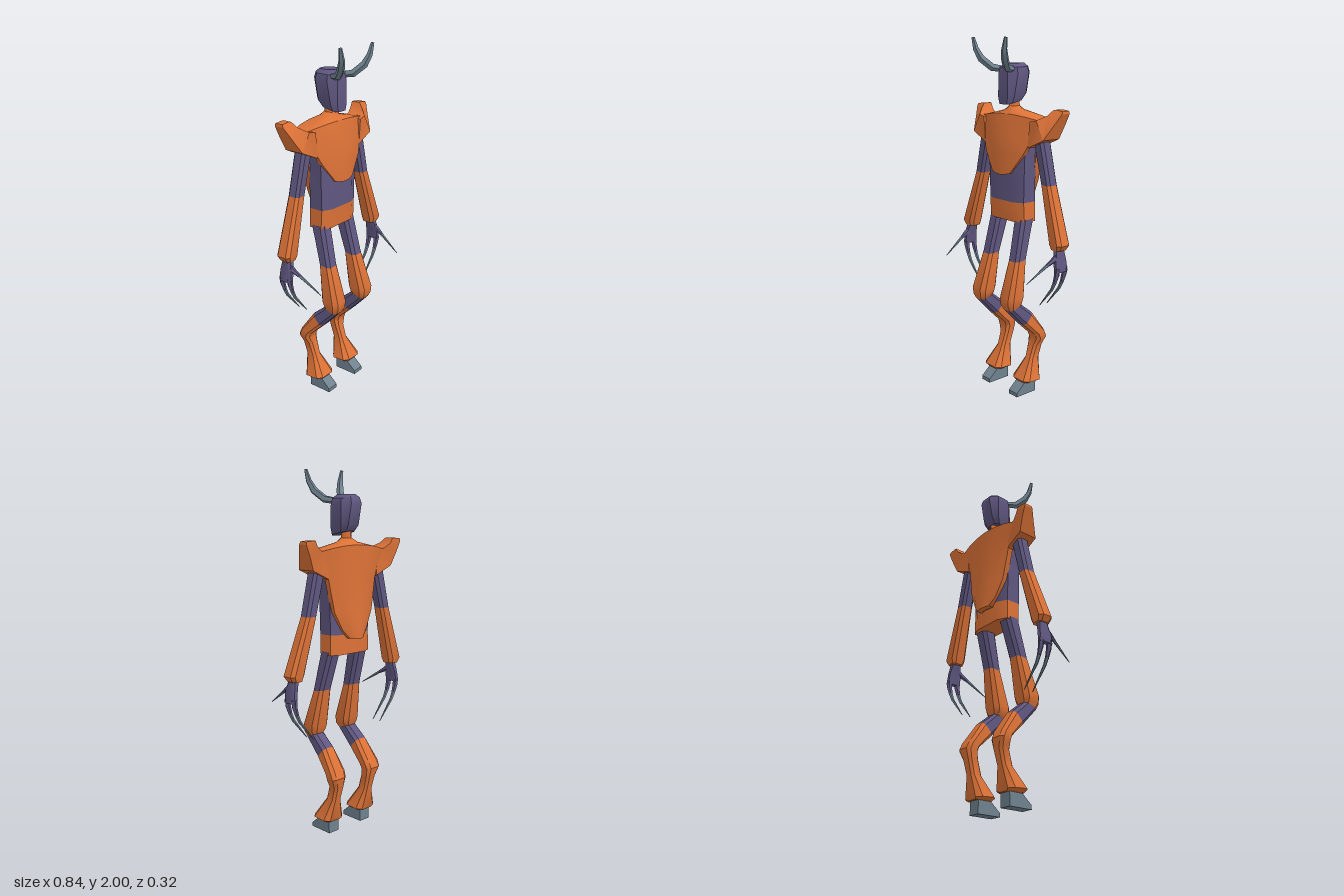
import * as THREE from 'three';
import { toCreasedNormals } from 'three/addons/utils/BufferGeometryUtils.js';

const orange = new THREE.MeshStandardMaterial({ color: 0xdc7237 });
orange.name = 'orange armour';
const purple = new THREE.MeshStandardMaterial({ color: 0x5f5780 });
purple.name = 'dusky purple';
const slate = new THREE.MeshStandardMaterial({ color: 0x6f828f });
slate.name = 'slate horn';

// Closed solid through a list of equal-length rings, turned so its faces point outward
function loft(name, material, rings, side = 1) {
  const pos = [];
  const n = rings[0].length;
  const r = rings.map(ring => ring.map(p => new THREE.Vector3(p[0] * side, p[1], p[2])));
  const tris = [];
  for (let i = 0; i < r.length - 1; i++) {
    for (let j = 0; j < n; j++) {
      const k = (j + 1) % n;
      const a = r[i][j], b = r[i][k], c = r[i + 1][k], d = r[i + 1][j];
      tris.push([a, b, c], [a, c, d]);
    }
  }
  const last = r[r.length - 1];
  for (const [ring, flip] of [[r[0], true], [last, false]]) {
    const mid = new THREE.Vector3();
    ring.forEach(p => mid.addScaledVector(p, 1 / n));
    for (let j = 0; j < n; j++) {
      const a = ring[j], b = ring[(j + 1) % n];
      tris.push(flip ? [mid, b, a] : [mid, a, b]);
    }
  }
  let volume = 0;
  const origin = r[0][0], v = new THREE.Vector3();
  const rel = p => p.clone().sub(origin);
  for (const [a, b, c] of tris) volume += rel(a).dot(v.crossVectors(rel(b), rel(c)));
  for (const [a, b, c] of tris) {
    for (const p of volume < 0 ? [a, c, b] : [a, b, c]) pos.push(p.x, p.y, p.z);
  }
  const geo = new THREE.BufferGeometry();
  geo.setAttribute('position', new THREE.Float32BufferAttribute(pos, 3));
  const mesh = new THREE.Mesh(toCreasedNormals(geo, 0.5), material);
  mesh.name = name;
  return mesh;
}

// Chamfered rectangular section; front and back may sit at different heights
function sec(x0, x1, zF, zB, yF, yB = yF, cut = 0.2) {
  const c = cut, d = 1 - cut;
  return [[c, 0], [d, 0], [1, c], [1, d], [d, 1], [c, 1], [0, d], [0, c]].map(([u, v]) =>
    [x0 + (x1 - x0) * u, yF + (yB - yF) * v, zF + (zB - zF) * v]);
}

// Tapered spike along a path of [x, y, z, radius]
function spike(name, material, path, side, sides = 5) {
  const pts = path.map(p => new THREE.Vector3(p[0], p[1], p[2]));
  const up = new THREE.Vector3(0, 1, 0);
  const rings = pts.map((p, i) => {
    const dir = pts[Math.min(i + 1, pts.length - 1)].clone().sub(pts[Math.max(i - 1, 0)]).normalize();
    const q = new THREE.Quaternion().setFromUnitVectors(dir.y < 0 ? up.clone().negate() : up, dir);
    return Array.from({ length: sides }, (_, j) => {
      const a = j / sides * Math.PI * 2;
      const o = new THREE.Vector3(Math.cos(a), 0, Math.sin(a)).multiplyScalar(path[i][3]);
      return o.applyQuaternion(q).add(p).toArray();
    });
  });
  return loft(name, material, rings, side);
}

// Bowed row of points from -x to +x
function bow(hw, yC, yE, zC, zE) {
  return [-1, -0.7, -0.35, 0, 0.35, 0.7, 1].map(t =>
    [hw * t, yC + (yE - yC) * t * t, zC + (zE - zC) * t * t]);
}

// Bowed armour plate with thickness
function plate(name, rows, thick) {
  return loft(name, orange, rows.map(row => {
    const outer = bow(...row);
    const inner = outer.map(([x, y, z]) => [x * 0.97, y, z + thick]).reverse();
    return [...outer, ...inner];
  }));
}

export function createModel() {
  const model = new THREE.Group();
  model.name = 'hornedFigure';

  // Head
  model.add(loft('head', purple, [
    sec(-0.05, 0.05, 0.02, -0.09, 1.65, 1.675),
    sec(-0.064, 0.064, 0.022, -0.115, 1.69, 1.71),
    sec(-0.076, 0.076, 0.02, -0.137, 1.81, 1.82, 0.25),
    sec(-0.068, 0.068, 0.014, -0.128, 1.845, 1.85, 0.25),
    sec(-0.045, 0.045, -0.01, -0.11, 1.868, 1.868, 0.25),
  ]));

  // Neck flowing into the shoulder yoke
  const ring = (front, back) => [...bow(...front), ...bow(...back).reverse()];
  const rimFront = [0.235, 1.6, 1.575, 0.005, -0.03];
  const rimBack = [0.235, 1.605, 1.575, -0.14, -0.115];
  model.add(loft('neckAndYoke', orange, [
    ring([0.026, 1.69, 1.69, -0.03, -0.06], [0.026, 1.69, 1.69, -0.09, -0.061]),
    ring([0.03, 1.64, 1.64, -0.025, -0.06], [0.03, 1.64, 1.64, -0.095, -0.061]),
    ring([0.07, 1.62, 1.615, -0.015, -0.05], [0.07, 1.62, 1.615, -0.115, -0.08]),
    ring(rimFront, rimBack),
    ring([0.19, 1.5, 1.5, 0.01, -0.02], [0.19, 1.5, 1.5, -0.12, -0.1]),
  ]));

  // Breastplate and long back plate
  model.add(plate('breastplate', [
    rimFront,
    [0.19, 1.47, 1.46, 0.036, -0.005],
    [0.155, 1.39, 1.39, 0.043, 0.015],
    [0.075, 1.272, 1.285, 0.047, 0.036],
  ], -0.03));
  model.add(plate('backPlate', [
    rimBack,
    [0.175, 1.43, 1.43, -0.143, -0.108],
    [0.14, 1.25, 1.25, -0.153, -0.118],
    [0.09, 1.14, 1.15, -0.162, -0.13],
    [0.05, 1.1, 1.105, -0.163, -0.145],
  ], 0.035));

  // Torso and belt
  const waist = sec(-0.142, 0.142, 0.022, -0.115, 1.125);
  model.add(loft('torso', purple, [
    sec(-0.155, 0.155, 0.015, -0.11, 1.5), sec(-0.148, 0.148, 0.022, -0.112, 1.35), waist,
  ]));
  model.add(loft('belt', orange, [waist, sec(-0.144, 0.144, 0.016, -0.115, 1.015)]));

  for (const side of [1, -1]) {
    const half = new THREE.Group();
    half.name = side > 0 ? 'leftSide' : 'rightSide';
    model.add(half);
    const part = (name, material, rings) => half.add(loft(name, material, rings, side));

    // Horn
    half.add(spike('horn', slate, [
      [0.04, 1.835, -0.015, 0.018], [0.062, 1.845, 0.045, 0.021], [0.098, 1.89, 0.09, 0.021],
      [0.117, 1.94, 0.11, 0.016], [0.134, 2, 0.115, 0.009],
    ], side));

    // Upswept shoulder pad: bottom and top corner of each section, front and back z
    part('shoulderPad', orange, [
      [0.178, 1.43, 0.19, 1.57, 0, -0.115],
      [0.29, 1.48, 0.235, 1.58, -0.005, -0.12],
      [0.325, 1.56, 0.272, 1.605, -0.05, -0.132],
      [0.35, 1.615, 0.288, 1.634, -0.08, -0.135],
      [0.348, 1.63, 0.3, 1.635, -0.086, -0.133],
    ].map(([bx, by, tx, ty, f, b]) => [[bx, by, f], [tx, ty, f], [tx, ty, b], [bx, by, b]]));

    // Arm
    const elbow = sec(0.243, 0.312, -0.028, -0.1, 1.24);
    part('upperArm', purple, [sec(0.175, 0.25, -0.025, -0.1, 1.5), elbow]);
    part('forearm', orange, [
      elbow,
      sec(0.325, 0.42, -0.008, -0.098, 0.935),
      sec(0.335, 0.4, -0.018, -0.09, 0.905),
    ]);

    // Hand with two long claws and a thumb claw
    part('hand', purple, [
      sec(0.35, 0.392, -0.025, -0.075, 0.915),
      sec(0.368, 0.402, -0.01, -0.085, 0.85),
      sec(0.378, 0.408, -0.008, -0.09, 0.79),
    ]);
    for (const z of [-0.022, -0.077]) {
      half.add(spike('finger', purple, [[0.393, 0.81, z, 0.016], [0.39, 0.77, z, 0.015], [0.375, 0.725, z, 0.011]], side));
      half.add(spike('claw', slate, [[0.375, 0.725, z, 0.011], [0.355, 0.685, z, 0.009], [0.26, 0.57, z, 0.002]], side));
    }
    half.add(spike('thumb', purple, [[0.38, 0.875, -0.035, 0.018], [0.378, 0.852, 0, 0.014], [0.372, 0.832, 0.035, 0.009]], side));
    half.add(spike('thumbClaw', slate, [[0.372, 0.832, 0.035, 0.009], [0.352, 0.752, 0.16, 0.002]], side));

    // Leg: thigh, knee gap, shin
    const midThigh = sec(0.072, 0.156, 0.052, -0.025, 0.8, 0.81);
    const kneeTop = sec(0.085, 0.165, 0.1, 0.02, 0.53, 0.555);
    const kneeLow = sec(0.084, 0.17, 0, -0.06, 0.425, 0.49);
    part('thigh', purple, [sec(0.06, 0.145, 0, -0.09, 1.03), midThigh]);
    part('thighArmour', orange, [
      midThigh, sec(0.065, 0.18, 0.118, 0.005, 0.6), sec(0.07, 0.175, 0.115, 0.012, 0.56, 0.575), kneeTop,
    ]);
    part('knee', purple, [kneeTop, kneeLow]);
    part('shinArmour', orange, [
      kneeLow,
      sec(0.08, 0.185, -0.08, -0.145, 0.35, 0.37),
      sec(0.085, 0.185, -0.09, -0.16, 0.32, 0.335),
      sec(0.09, 0.16, -0.083, -0.148, 0.28),
      sec(0.095, 0.155, -0.058, -0.126, 0.2),
      sec(0.055, 0.198, 0.015, -0.112, 0.09, 0.082),
      sec(0.075, 0.175, 0, -0.105, 0.072),
    ]);

    // Wedge foot, drawn as a side outline swept across x
    const outline = [[0, -0.09], [0, 0.052], [0.022, 0.052], [0.075, -0.01], [0.085, -0.09]];
    part('foot', slate, [0.088, 0.158].map(x => outline.map(([y, z]) => [x, y, z])));
  }
  return model;
}
